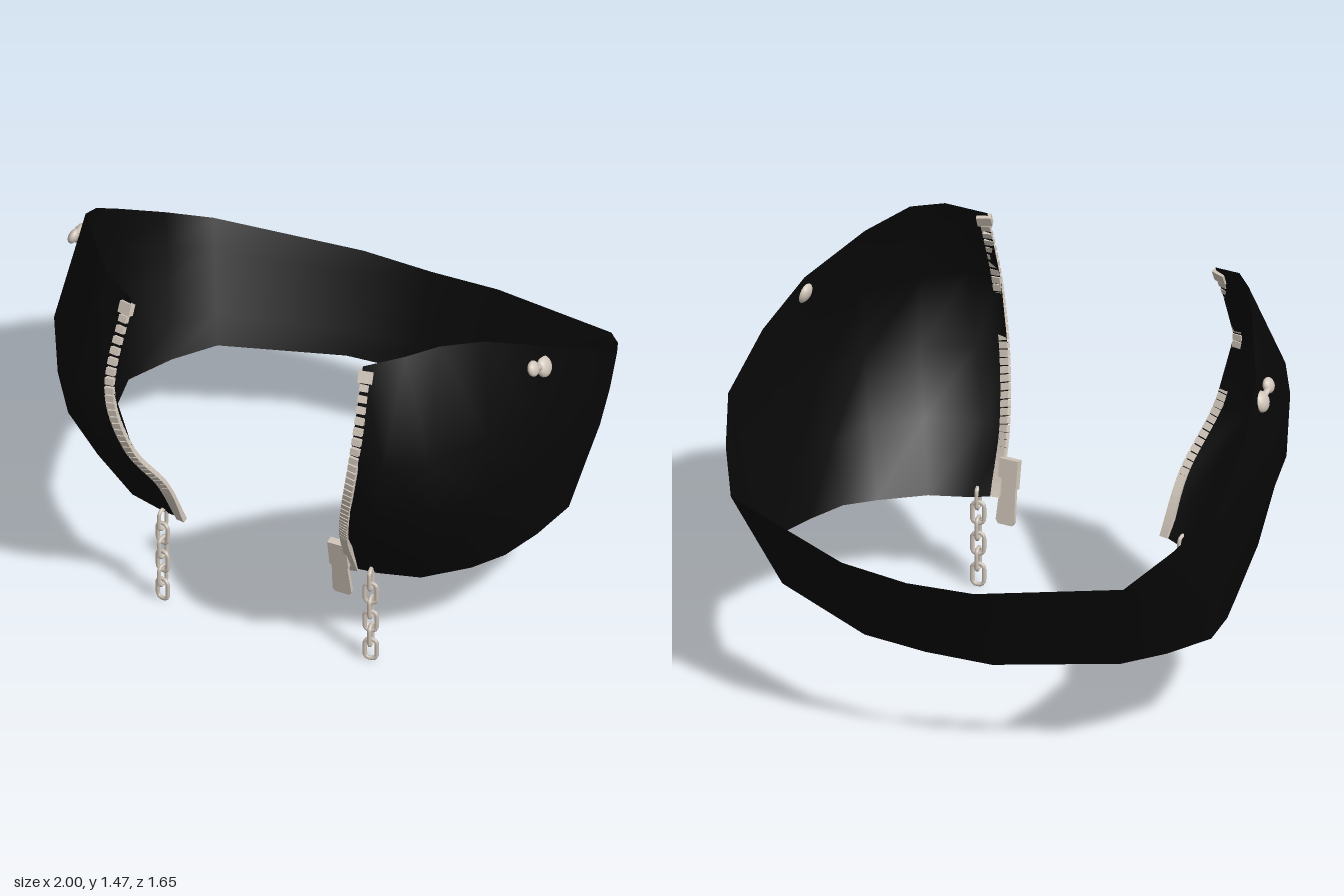
import * as THREE from 'three';

const V = (a) => new THREE.Vector3(...a);

// Left half of the garment: columns from the front opening to the centre back,
// each listed from hem to top edge. Two-point columns are straight.
const COLUMNS = [
  [[.33, .39, .53], [.35, .6, .63], [.42, .83, .77], [.475, 1.1, .815], [.465, 1.43, .69]],
  [[.43, .375, .5], [.46, .6, .66], [.56, .83, .78], [.61, 1.1, .82], [.6, 1.47, .62]],
  [[.58, .37, .45], [.66, .6, .57], [.73, .83, .67], [.74, 1.1, .71], [.69, 1.48, .52]],
  [[.72, .375, .32], [.8, .62, .42], [.86, .85, .49], [.87, 1.1, .5], [.79, 1.43, .36]],
  [[.8, .385, .21], [.87, .6, .25], [.93, .85, .27], [.945, 1.08, .25], [.92, 1.31, .14]],
  [[.85, .39, .05], [.9, .6, .05], [.95, .82, .03], [.975, 1, 0], [.98, 1.18, -.07]],
  [[.885, .4, -.14], [.93, .58, -.18], [.97, .74, -.22], [.99, .88, -.26], [1, 1.02, -.3]],
  [[.8, .4, -.32], [.91, .91, -.49]],
  [[.69, .4, -.47], [.8, .81, -.66]],
  [[.26, .375, -.65], [.27, .735, -.81]],
  [[0, .375, -.67], [0, .72, -.82]],
];
const ROWS = 5;

function shellGeometry() {
  const half = COLUMNS.map((c) => c.length === ROWS ? c.map(V)
    : Array.from({ length: ROWS }, (_, i) => V(c[0]).lerp(V(c[1]), i / (ROWS - 1))));
  const mirrored = half.slice(0, -1).reverse()
    .map((c) => c.map((p) => new THREE.Vector3(-p.x, p.y, p.z)));
  const cols = [...half, ...mirrored];
  const index = [];
  for (let i = 0; i < cols.length - 1; i++) {
    for (let j = 0; j < ROWS - 1; j++) {
      const a = i * ROWS + j, b = a + ROWS;
      index.push(a, b, a + 1, b, b + 1, a + 1);
    }
  }
  const geo = new THREE.BufferGeometry().setFromPoints(cols.flat());
  geo.setIndex(index);
  geo.computeVertexNormals();
  return geo;
}

// One long rounded chain link standing in the xy plane
function linkGeometry() {
  const w = .022, h = .041, c = .012;
  const pts = [[w, h - c], [w - c, h], [c - w, h], [-w, h - c],
    [-w, c - h], [c - w, -h], [w - c, -h], [w, c - h]].map(([x, y]) => new THREE.Vector3(x, y, 0));
  const path = new THREE.CatmullRomCurve3(pts, true, 'catmullrom', .2);
  return new THREE.TubeGeometry(path, 24, .008, 6, true);
}

export function createModel() {
  const cloth = new THREE.MeshStandardMaterial({ color: 0x080808, side: THREE.DoubleSide });
  cloth.name = 'black cloth';
  const metal = new THREE.MeshStandardMaterial({ color: 0xd0c5b9 });
  metal.name = 'pale metal';

  const model = new THREE.Group();
  model.name = 'openCroppedTop';
  const add = (parent, name, geo, mat, pos = [0, 0, 0]) => {
    const mesh = new THREE.Mesh(geo, mat);
    mesh.name = name;
    mesh.position.set(...pos);
    parent.add(mesh);
    return mesh;
  };

  add(model, 'bodyPanel', shellGeometry(), cloth);

  const toothGeo = new THREE.BoxGeometry(.034, .026, .02);
  const linkGeo = linkGeometry();
  const edge = new THREE.CatmullRomCurve3(COLUMNS[0].map(V));
  const next = new THREE.CatmullRomCurve3(COLUMNS[1].map(V));
  const TEETH = 36;

  for (const s of [1, -1]) {
    const side = s > 0 ? 'left' : 'right';

    // Zip teeth following the front opening, with a wider stop at the top
    const zip = new THREE.Group();
    zip.name = side + 'Zip';
    model.add(zip);
    for (let i = 0; i < TEETH; i++) {
      const t = .01 + .96 * i / (TEETH - 1);
      const p = edge.getPoint(t), up = edge.getTangent(t);
      const across = next.getPoint(t).sub(p).normalize();
      p.addScaledVector(across, .016);
      p.x *= s; up.x *= s; across.x *= s;
      if (s < 0) across.negate();
      const out = across.clone().cross(up).normalize();
      across.crossVectors(up, out);
      const last = i === TEETH - 1;
      const tooth = add(zip, last ? 'zipStop' : 'zipTooth', toothGeo, metal, p.toArray());
      tooth.quaternion.setFromRotationMatrix(new THREE.Matrix4().makeBasis(across, up, out));
      if (last) tooth.scale.set(1.6, 1.7, 1.2);
    }

    // Hanging chain of alternately turned links
    const chain = new THREE.Group();
    chain.name = side + 'Chain';
    chain.position.set(.418 * s, 0, .53);
    model.add(chain);
    for (let i = 0; i < 6; i++) {
      const link = add(chain, 'chainLink', linkGeo, metal, [0, .055 + i * .062, 0]);
      link.rotation.y = (i % 2 ? Math.PI / 2 : 0) + .2 * s;
    }

    // Barbell stud through the upper edge at the side
    const stud = new THREE.Group();
    stud.name = side + 'Stud';
    model.add(stud);
    for (const [r, y, z, x] of [[.03, 1.268, .23, .924], [.04, 1.235, .16, .932]]) {
      const ball = add(stud, 'studHead', new THREE.SphereGeometry(r, 16, 10), metal, [x * s, y, z]);
      ball.scale.x = .6;
      ball.rotation.z = .35 * s;
    }
    const bar = add(stud, 'studBar', new THREE.CylinderGeometry(.012, .012, .08, 8), metal, [.93 * s, 1.252, .195]);
    bar.rotation.x = 1.13;
  }

  // Zip slider and tapered pull tab at the foot of the left zip
  const pull = new THREE.Group();
  pull.name = 'zipPull';
  pull.position.set(.31, .46, .565);
  pull.rotation.x = .17;
  model.add(pull);
  add(pull, 'slider', new THREE.BoxGeometry(.075, .11, .03), metal, [0, .01, 0]);
  const tab = new THREE.Shape();
  [[-.03, 0], [-.038, -.15], [-.028, -.165], [.028, -.165], [.038, -.15], [.03, 0]]
    .forEach(([x, y], i) => (i ? tab.lineTo(x, y) : tab.moveTo(x, y)));
  add(pull, 'pullTab', new THREE.ExtrudeGeometry(tab, { depth: .014, bevelEnabled: false }), metal, [0, -.02, -.004]);

  return model;
}
